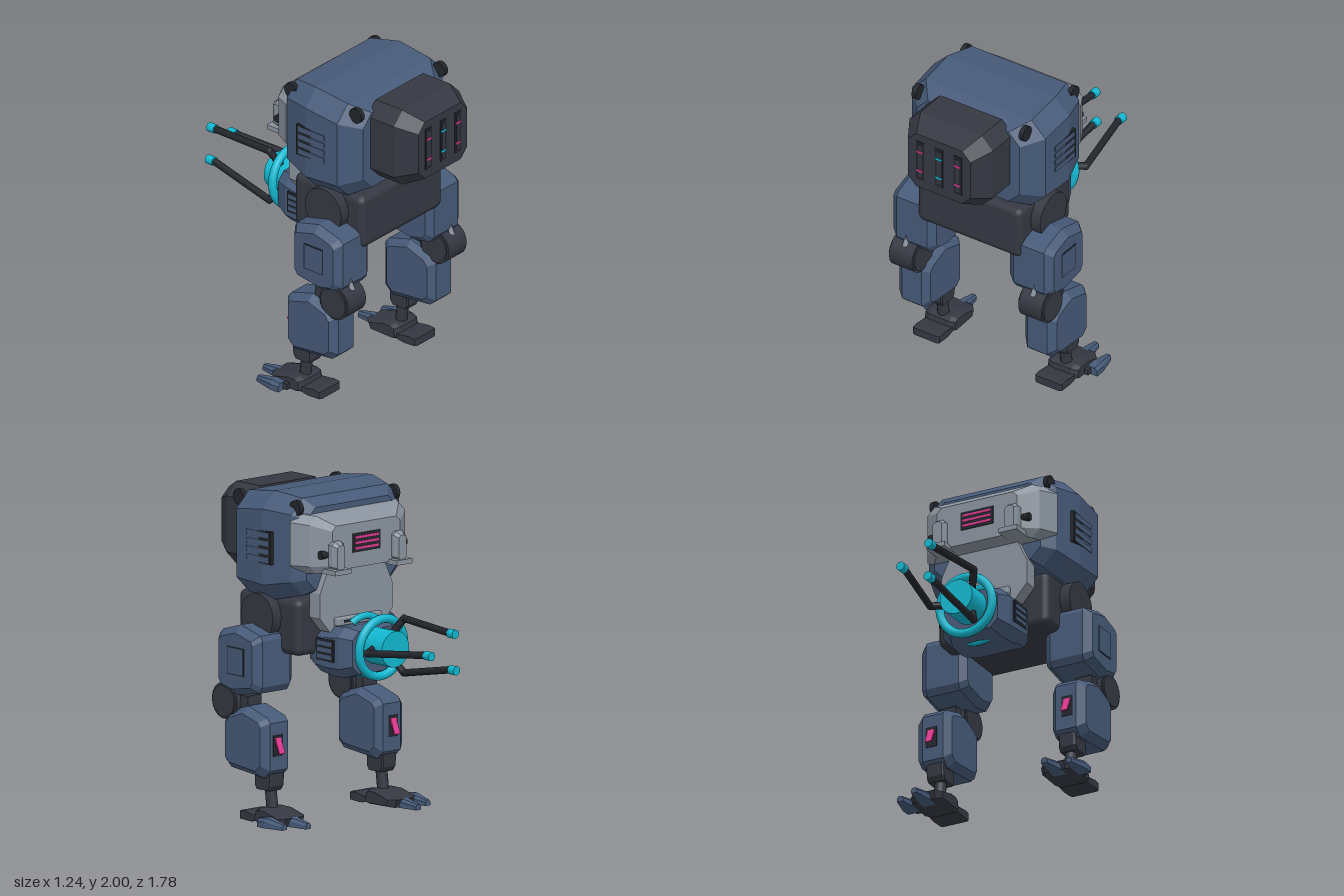
import * as THREE from 'three';
import { RoundedBoxGeometry } from 'three/addons/geometries/RoundedBoxGeometry.js';

const mat = (name, color) => Object.assign(new THREE.MeshStandardMaterial({ color }), { name });

// Flat-faced solid through a row of equal-length loops, capped at both ends
function loft(loops) {
  const tris = [], n = loops[0].length;
  for (let i = 0; i + 1 < loops.length; i++) {
    for (let j = 0; j < n; j++) {
      const k = (j + 1) % n, a = loops[i], b = loops[i + 1];
      tris.push([a[j], a[k], b[k]], [a[j], b[k], b[j]]);
    }
  }
  const first = loops[0], last = loops[loops.length - 1];
  for (let j = 1; j + 1 < n; j++) {
    tris.push([first[0], first[j + 1], first[j]], [last[0], last[j], last[j + 1]]);
  }
  // Turn the faces outward if the signed volume is negative
  const o = first[0];
  let volume = 0;
  for (const [a, b, c] of tris) {
    volume += a.clone().sub(o).dot(b.clone().sub(o).cross(c.clone().sub(o)));
  }
  const pts = tris.flatMap(t => (volume < 0 ? [t[0], t[2], t[1]] : t));
  const g = new THREE.BufferGeometry().setFromPoints(pts);
  g.computeVertexNormals();
  return g;
}

// Chamfered rectangles along z: [z, halfWidth, y0, y1, chamfer]
const loftZ = (sections, cx = 0) => loft(sections.map(([z, w, y0, y1, c]) => [
  [w, y0 + c], [w, y1 - c], [w - c, y1], [c - w, y1], [-w, y1 - c], [-w, y0 + c], [c - w, y0], [w - c, y0],
].map(([x, y]) => new THREE.Vector3(cx + x, y, z))));

// Side outline [z, y] carried across x and shrunk towards its middle: [x, scale]
function loftX(outline, steps, side) {
  const cz = outline.reduce((t, p) => t + p[0], 0) / outline.length;
  const cy = outline.reduce((t, p) => t + p[1], 0) / outline.length;
  return loft(steps.map(([x, k]) => outline.map(([z, y]) =>
    new THREE.Vector3(side * x, cy + (y - cy) * k, cz + (z - cz) * k))));
}

export function createModel() {
  const navy = mat('navy armour', 0x465a78);
  const dark = mat('dark metal', 0x353842);
  const black = mat('black fittings', 0x22252b);
  const grey = mat('grey plate', 0x8a939e);
  const cyan = mat('cyan', 0x12b8d0);
  const pink = mat('pink', 0xe0388f);
  const model = new THREE.Group();

  const add = (name, geo, material, x = 0, y = 0, z = 0) => {
    const m = new THREE.Mesh(geo, material);
    m.name = name;
    m.position.set(x, y, z);
    model.add(m);
    return m;
  };
  const box = (name, m, w, h, d, x, y, z) => add(name, new THREE.BoxGeometry(w, h, d), m, x, y, z);
  const round = (name, m, w, h, d, r, x, y, z) => add(name, new RoundedBoxGeometry(w, h, d, 2, r), m, x, y, z);
  const disc = (name, m, r, w, x, y, z, sides = 20) =>
    add(name, new THREE.CylinderGeometry(r, r, w, sides).rotateZ(Math.PI / 2), m, x, y, z);
  const rod = (name, m, a, b, r, sides = 10) => {
    const p = new THREE.Vector3(...a), d = new THREE.Vector3(...b).sub(p);
    const mesh = add(name, new THREE.CylinderGeometry(r, r, d.length(), sides), m);
    mesh.position.copy(p).addScaledVector(d, 0.5);
    mesh.quaternion.setFromUnitVectors(new THREE.Vector3(0, 1, 0), d.normalize());
  };

  // Hull
  add('hull', loftZ([
    [0.57, 0.37, 1.41, 1.91, 0.08], [0.46, 0.48, 1.355, 1.97, 0.1], [0.22, 0.485, 1.34, 2, 0.1],
    [0.03, 0.43, 1.385, 1.975, 0.09], [-0.03, 0.36, 1.42, 1.92, 0.07],
  ]), navy);

  // Head pod with three lit slots
  add('headPod', loftZ([
    [0.54, 0.3, 1.46, 1.96, 0.08], [0.75, 0.3, 1.46, 1.96, 0.08], [0.878, 0.225, 1.52, 1.9, 0.06],
  ]), dark);
  for (const x of [-0.135, 0, 0.135]) {
    box('podSlot', black, 0.056, 0.27, 0.008, x, 1.715, 0.879);
    box('slotRib', dark, 0.026, 0.23, 0.008, x, 1.715, 0.881);
    for (const y of [1.645, 1.78]) box('slotLight', x ? pink : cyan, 0.045, 0.013, 0.008, x, y, 0.883);
  }

  // Grey rear armour
  add('rearPlate', loftZ([
    [0.03, 0.44, 1.53, 1.89, 0.05], [-0.08, 0.38, 1.53, 1.88, 0.05], [-0.16, 0.27, 1.55, 1.82, 0.03],
  ]), grey);
  box('rearVent', black, 0.22, 0.115, 0.008, 0, 1.7, -0.161);
  for (const y of [1.667, 1.7, 1.733]) box('rearVentLight', pink, 0.19, 0.014, 0.008, 0, y, -0.164);
  add('spinePlate', loft([0.02, -0.072].map(z => [
    [0.21, 1.16], [0.29, 1.25], [0.29, 1.4], [0.22, 1.55], [-0.22, 1.55], [-0.29, 1.4], [-0.29, 1.25], [-0.21, 1.16],
  ].map(([x, y]) => new THREE.Vector3(x, y, z)))), grey);
  round('spineBracket', grey, 0.36, 0.05, 0.04, 0.01, 0, 1.22, -0.085);
  box('spineSlot', black, 0.26, 0.016, 0.008, 0, 1.22, -0.104);

  // Pelvis
  round('pelvis', dark, 0.75, 0.345, 0.54, 0.045, 0, 1.185, 0.3);

  // Gun mount
  add('gunMount', loftZ([
    [0.14, 0.18, 0.94, 1.03, 0.03], [0.04, 0.235, 0.91, 1.16, 0.05], [-0.06, 0.235, 0.89, 1.19, 0.06],
    [-0.16, 0.225, 0.89, 1.2, 0.06], [-0.245, 0.185, 0.92, 1.18, 0.05],
  ]), navy);

  // Cyan gun hub, ring and two arcs
  add('gunHub', new THREE.CylinderGeometry(0.11, 0.11, 0.18, 20).rotateX(Math.PI / 2), cyan, 0, 1.08, -0.33);
  add('gunRing', new THREE.TorusGeometry(0.177, 0.027, 10, 32), cyan, 0, 1.075, -0.295).rotation.x = -0.08;
  for (const mid of [Math.PI / 2, -Math.PI / 2]) {
    add('gunArc', new THREE.TorusGeometry(0.175, 0.022, 8, 12, 1.3).rotateZ(mid - 0.65), cyan, 0, 1.07, -0.145);
  }
  // Three bent barrels
  for (const [ax, ay, bx, by, tx, ty, tz] of [
    [0.1, 1.08, 0.195, 1.075, 0.125, 1.12, -0.83],
    [-0.06, 1.16, -0.1, 1.25, -0.065, 1.23, -0.83],
    [-0.06, 1.0, -0.1, 0.92, -0.065, 1.01, -0.84],
  ]) {
    rod('barrelArm', black, [ax, ay, -0.33], [bx, by, -0.385], 0.023);
    add('barrelElbow', new THREE.SphereGeometry(0.023, 10, 8), black, bx, by, -0.385);
    rod('barrel', black, [bx, by, -0.385], [tx, ty, tz], 0.022);
    rod('barrelTip', cyan, [tx, ty, tz], [tx, ty, tz - 0.052], 0.028, 12);
  }

  for (const s of [1, -1]) {
    // Hull side louvres and lifting hooks
    const vent = box('hullVent', black, 0.03, 0.2, 0.235, s * 0.469, 1.67, 0.265);
    vent.rotation.y = s * -0.03;
    for (const y of [1.595, 1.645, 1.695, 1.745]) {
      box('hullLouvre', navy, 0.03, 0.032, 0.2, s * 0.473, y, 0.265);
    }
    for (const z of [0.535, 0.03]) {
      const hook = disc('liftingHook', black, 0.048, 0.03, s * 0.385, 1.92, z, 16);
      hook.scale.set(1, 1, 1);
    }

    // Rear lamps on shelves and side bolt
    box('lampShelf', grey, 0.125, 0.03, 0.16, s * 0.245, 1.55, -0.15);
    add('lampPost', loftZ([[-0.13, 0.045, 1.56, 1.73, 0.02], [-0.18, 0.045, 1.56, 1.73, 0.02],
      [-0.21, 0.03, 1.56, 1.71, 0.015]], s * 0.245), grey);
    disc('plateBolt', black, 0.025, 0.05, s * 0.315, 1.65, -0.125, 10);

    // Gun mount louvres
    box('mountVent', black, 0.02, 0.135, 0.15, s * 0.228, 1.055, -0.055);
    for (const y of [1.015, 1.055, 1.095]) box('mountLouvre', navy, 0.022, 0.026, 0.13, s * 0.231, y, -0.055);

    // Hip and thigh
    disc('hip', dark, 0.143, 0.1, s * 0.392, 1.23, 0.32, 14);
    add('thigh', loftX([[0.55, 1.11], [0.52, 1.14], [0.366, 1.185], [0.19, 1.14], [0.175, 1.11], [0.175, 0.83],
      [0.2, 0.79], [0.4, 0.755], [0.52, 0.78], [0.55, 0.82]],
    [[0.265, 0.82], [0.31, 1], [0.53, 1], [0.578, 0.8]], s), navy);
    box('thighPanelSeam', black, 0.006, 0.17, 0.15, s * 0.577, 0.97, 0.36);
    box('thighPanel', navy, 0.008, 0.156, 0.136, s * 0.578, 0.97, 0.36);

    // Knee
    disc('knee', dark, 0.112, 0.165, s * 0.465, 0.71, 0.492, 18);
    disc('kneeCap', dark, 0.098, 0.185, s * 0.465, 0.71, 0.492, 18);
    box('kneeLink', dark, 0.11, 0.1, 0.18, s * 0.46, 0.705, 0.41);
    add('kneeSpike', new THREE.ConeGeometry(0.022, 0.07, 8), grey, s * 0.46, 0.825, 0.555);

    // Shin with pink rear flap
    add('shin', loftX([[0.505, 0.6], [0.47, 0.645], [0.31, 0.7], [0.14, 0.65], [0.115, 0.62], [0.115, 0.33],
      [0.165, 0.283], [0.46, 0.31], [0.505, 0.35]],
    [[0.342, 0.8], [0.38, 1], [0.52, 1], [0.567, 0.8]], s), navy);
    box('shinRecess', black, 0.075, 0.13, 0.008, s * 0.46, 0.48, 0.115);
    box('shinFlap', pink, 0.045, 0.11, 0.009, s * 0.46, 0.485, 0.098).rotation.x = 0.4;

    // Ankle
    add('ankle', loftX([[0.275, 0.31], [0.13, 0.31], [0.135, 0.23], [0.155, 0.2], [0.26, 0.2], [0.275, 0.23]],
      [[0.39, 0.9], [0.4, 1], [0.49, 1], [0.505, 0.9]], s), dark);
    rod('anklePiston', dark, [s * 0.442, 0.07, 0.18], [s * 0.442, 0.22, 0.2], 0.036, 12);

    // Foot, heel and two splayed toes
    add('foot', loftX([[0.25, 0.02], [0.235, 0.085], [0.2, 0.1], [0.13, 0.1], [-0.02, 0.06], [0, 0.01], [0.22, 0.005]],
      [[0.335, 0.75], [0.37, 1], [0.51, 1], [0.55, 0.75]], s), dark);
    add('heel', loftX([[0.375, 0.01], [0.375, 0.06], [0.33, 0.065], [0.22, 0.05], [0.22, 0.015], [0.28, 0.005]],
      [[0.345, 0.9], [0.36, 1], [0.52, 1], [0.535, 0.9]], s), dark);
    for (const [x, tipX, z, tipZ] of [[0.443, 0.44, 0.07, -0.135], [0.578, 0.572, 0.12, -0.07]]) {
      const row = [[z, x, 0.042, 0.06], [z - 0.06, x, 0.044, 0.066], [tipZ, tipX, 0.02, 0.042]];
      add('toe', loft(row.map(([tz, tx, w, h]) => [
        [w, 0.008], [w, h * 0.7], [w * 0.55, h], [-w * 0.55, h], [-w, h * 0.7], [-w, 0.008],
      ].map(([dx, y]) => new THREE.Vector3(s * tx + dx, y, tz)))), navy);
    }
    box('toeLink', dark, 0.06, 0.04, 0.08, s * 0.545, 0.035, 0.11);
  }
  return model;
}
